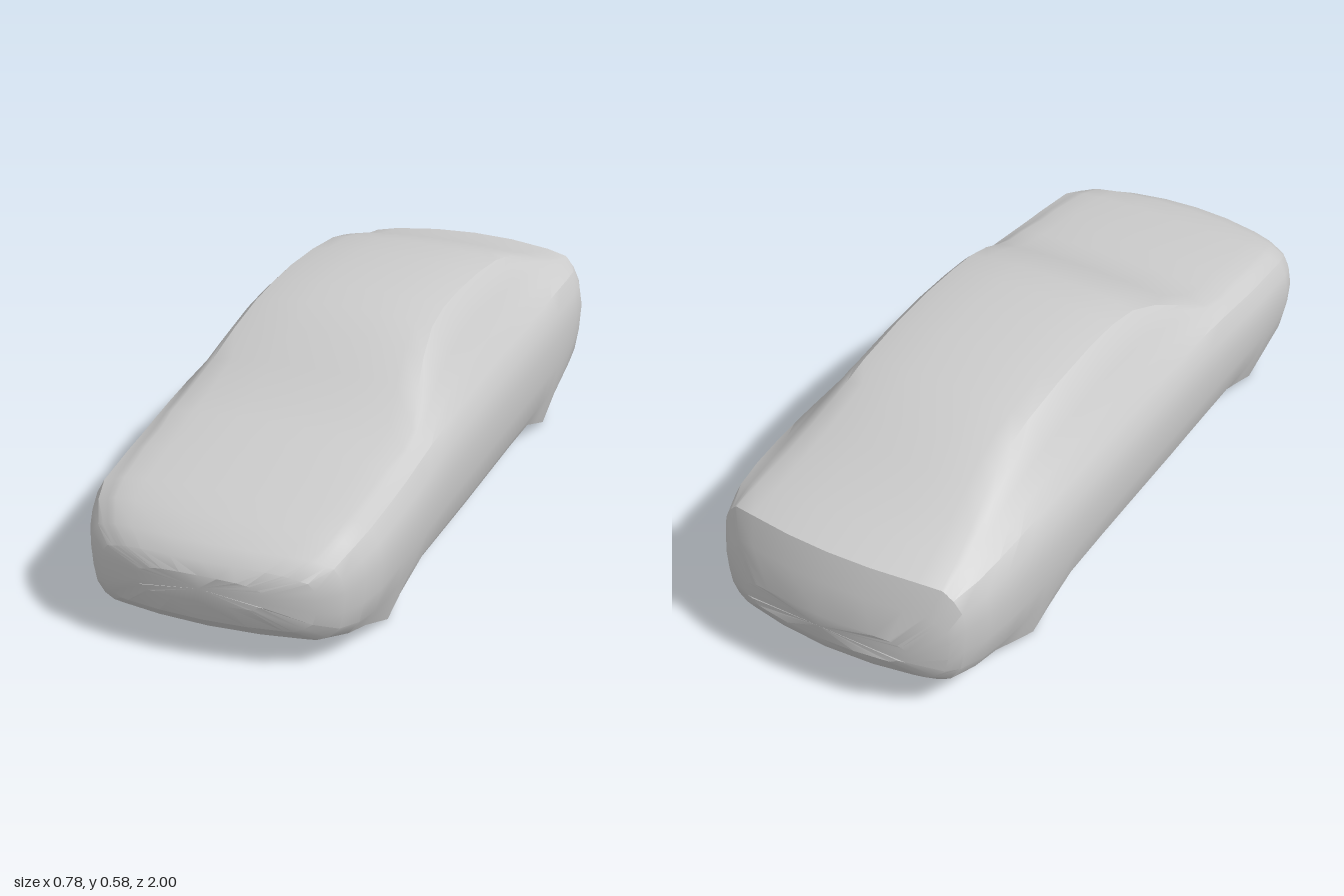
import * as THREE from 'three';
import { toCreasedNormals } from 'three/addons/utils/BufferGeometryUtils.js';

// Body stations, nose to tail: z, half width, floor y, shoulder y, top y, roof half width
const STATIONS = [
  [1.0, 0.17, 0.165, 0.215, 0.235, 0.12],
  [0.985, 0.28, 0.11, 0.24, 0.265, 0.2],
  [0.95, 0.33, 0.075, 0.265, 0.295, 0.25],
  [0.88, 0.36, 0.06, 0.3, 0.33, 0.28],
  [0.79, 0.377, 0.057, 0.32, 0.35, 0.29],
  [0.65, 0.383, 0.055, 0.335, 0.374, 0.3],
  [0.57, 0.385, 0.055, 0.343, 0.386, 0.3],
  [0.48, 0.386, 0.055, 0.355, 0.397, 0.31],
  [0.4, 0.387, 0.055, 0.365, 0.418, 0.305],
  [0.3, 0.388, 0.055, 0.375, 0.472, 0.28],
  [0.2, 0.389, 0.055, 0.382, 0.527, 0.26],
  [0.1, 0.39, 0.055, 0.385, 0.566, 0.245],
  [0, 0.39, 0.055, 0.388, 0.581, 0.24],
  [-0.12, 0.39, 0.055, 0.39, 0.585, 0.24],
  [-0.27, 0.39, 0.055, 0.39, 0.578, 0.24],
  [-0.42, 0.39, 0.055, 0.39, 0.56, 0.24],
  [-0.5, 0.39, 0.055, 0.39, 0.54, 0.24],
  [-0.57, 0.389, 0.055, 0.39, 0.518, 0.245],
  [-0.65, 0.387, 0.06, 0.388, 0.488, 0.255],
  [-0.74, 0.383, 0.07, 0.383, 0.455, 0.27],
  [-0.84, 0.374, 0.082, 0.375, 0.427, 0.285],
  [-0.945, 0.35, 0.095, 0.36, 0.404, 0.295],
  [-0.975, 0.325, 0.12, 0.3, 0.33, 0.27],
  [-1.0, 0.24, 0.17, 0.225, 0.245, 0.19],
];

// Right-hand half outline of one station, floor centre to roof centre
function halfSection([z, w, floor, shoulder, top, roof]) {
  const bump = Math.max(0, 1 - Math.abs(z - 0.65) / 0.16, 1 - Math.abs(z + 0.57) / 0.16);
  const lip = floor + 0.01 - 0.06 * bump; // dips down at the wheels
  const mix = THREE.MathUtils.lerp;
  const edge = top - Math.min(0.02, (top - shoulder) * 0.4);
  const sx = w * 0.92;
  return [
    [0, floor], [w * 0.4, floor], [w * 0.72, floor],
    [w * 0.8, floor - 0.01 * bump], [w * 0.885, lip],
    [w * 0.955, mix(floor, shoulder, 0.18)],
    [w * 0.985, mix(floor, shoulder, 0.4)],
    [w, mix(floor, shoulder, 0.67)],
    [w * 0.975, mix(floor, shoulder, 0.86)],
    [sx, shoulder],
    [mix(sx, roof, 0.3), mix(shoulder, edge, 0.28)],
    [mix(sx, roof, 0.56), mix(shoulder, edge, 0.6)],
    [mix(sx, roof, 0.79), mix(shoulder, edge, 0.85)],
    [roof, edge],
    [roof * 0.8, mix(edge, top, 0.5)],
    [roof * 0.4, mix(edge, top, 0.88)],
    [0, top],
  ];
}

function bodyGeometry() {
  const pos = [];
  const index = [];
  // Ends curve back towards the corners in plan
  const add = (x, y, z) => {
    const bend = 0.5 * x * x * THREE.MathUtils.smoothstep(Math.abs(z), 0.75, 0.97);
    pos.push(x, y, z * (1 - bend));
  };
  let n = 0;
  for (const s of STATIONS) {
    const half = halfSection(s);
    const mirrored = half.slice(1, -1).reverse().map(([x, y]) => [-x, y]);
    const ring = [...half, ...mirrored];
    n = ring.length;
    ring.forEach(([x, y]) => add(x, y, s[0]));
  }
  const rows = STATIONS.length;
  for (let i = 0; i < rows - 1; i++) {
    for (let j = 0; j < n; j++) {
      const k = (j + 1) % n;
      const a = i * n + j, b = i * n + k, c = b + n, d = a + n;
      index.push(a, d, c, a, c, b);
    }
  }
  // Nose and tail caps
  const nose = rows * n, tail = nose + 1;
  add(0, 0.2, 1.0);
  add(0, 0.21, -1.0);
  const last = (rows - 1) * n;
  for (let j = 0; j < n; j++) {
    const k = (j + 1) % n;
    index.push(nose, j, k, tail, last + k, last + j);
  }
  const geo = new THREE.BufferGeometry();
  geo.setAttribute('position', new THREE.Float32BufferAttribute(pos, 3));
  geo.setIndex(index);
  return toCreasedNormals(geo, THREE.MathUtils.degToRad(28));
}

export function createModel() {
  const group = new THREE.Group();
  group.name = 'car';
  const body = new THREE.Mesh(bodyGeometry(), new THREE.MeshStandardMaterial({ color: 0xcccccc }));
  body.name = 'carBody';
  group.add(body);
  return group;
}
